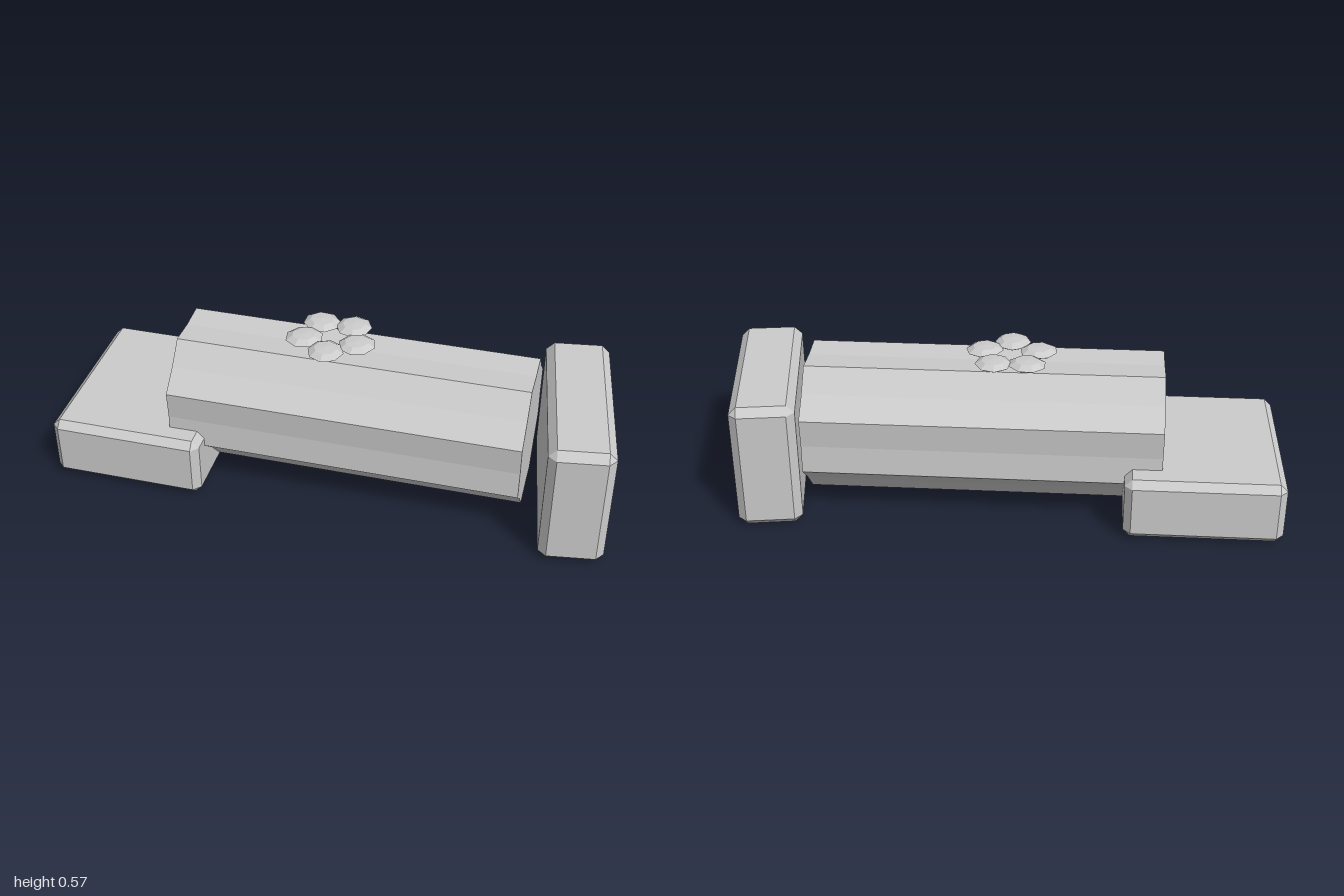
import * as THREE from 'three';
import { ConvexGeometry } from 'three/addons/geometries/ConvexGeometry.js';

const material = new THREE.MeshStandardMaterial({ color: 0xcccccc, flatShading: true });

function addMesh(parent, name, geometry, x = 0, y = 0, z = 0) {
  const mesh = new THREE.Mesh(geometry, material);
  mesh.name = name;
  mesh.position.set(x, y, z);
  parent.add(mesh);
  return mesh;
}

// Box with every edge and corner cut flat by b
function chamferedBox(w, h, d, b) {
  const points = [];
  for (const sx of [-1, 1]) for (const sy of [-1, 1]) for (const sz of [-1, 1]) {
    for (let axis = 0; axis < 3; axis++) {
      const inset = [b, b, b];
      inset[axis] = 0;
      points.push(new THREE.Vector3(
        sx * (w / 2 - inset[0]), sy * (h / 2 - inset[1]), sz * (d / 2 - inset[2])));
    }
  }
  return new ConvexGeometry(points);
}

// Octagonal bar along x, each side slightly creased inward along its middle
function creasedBar(length, radius, crease) {
  const shape = new THREE.Shape();
  for (let i = 0; i < 16; i++) {
    const a = Math.PI / 8 * (i + 1);
    const r = i % 2 === 0 ? radius : crease;
    shape[i ? 'lineTo' : 'moveTo'](r * Math.cos(a), r * Math.sin(a));
  }
  shape.closePath();
  return new THREE.ExtrudeGeometry(shape, { depth: length, bevelEnabled: false })
    .translate(0, 0, -length / 2)
    .rotateY(Math.PI / 2);
}

// Low faceted dome with a flat underside
function petalGeometry() {
  const profile = [[0, 0], [0.06, 0], [0.068, 0.005], [0.043, 0.02], [0, 0.023]]
    .map(([r, y]) => new THREE.Vector2(r, y));
  return new THREE.LatheGeometry(profile, 8);
}

export function createModel() {
  const model = new THREE.Group();
  model.name = 'model';

  // Main bar
  addMesh(model, 'body', creasedBar(1.26, 0.265, 0.239), 0.055, 0.28, 0);

  // Low block under one end, tall turned block at the other
  addMesh(model, 'lowBlock', chamferedBox(0.555, 0.23, 0.66, 0.026), -0.7225, 0.12, -0.004);
  const tall = addMesh(model, 'tallBlock', chamferedBox(0.225, 0.47, 0.67, 0.028), 0.842, 0.235, 0);
  tall.rotation.y = THREE.MathUtils.degToRad(8.5);

  // Five petal flower hovering over the bar
  const flower = new THREE.Group();
  flower.name = 'flower';
  flower.position.set(-0.037, 0.548, -0.013);
  model.add(flower);
  const petal = petalGeometry();
  for (let i = 0; i < 5; i++) {
    const a = Math.PI / 2 + i * Math.PI * 2 / 5;
    const mesh = addMesh(flower, 'petal', petal, 0.1 * Math.cos(a), 0, 0.095 * Math.sin(a));
    mesh.rotation.y = -a + 0.25 * i;
    mesh.scale.set(1, 1 - 0.06 * (i % 2), 0.94);
  }
  return model;
}
